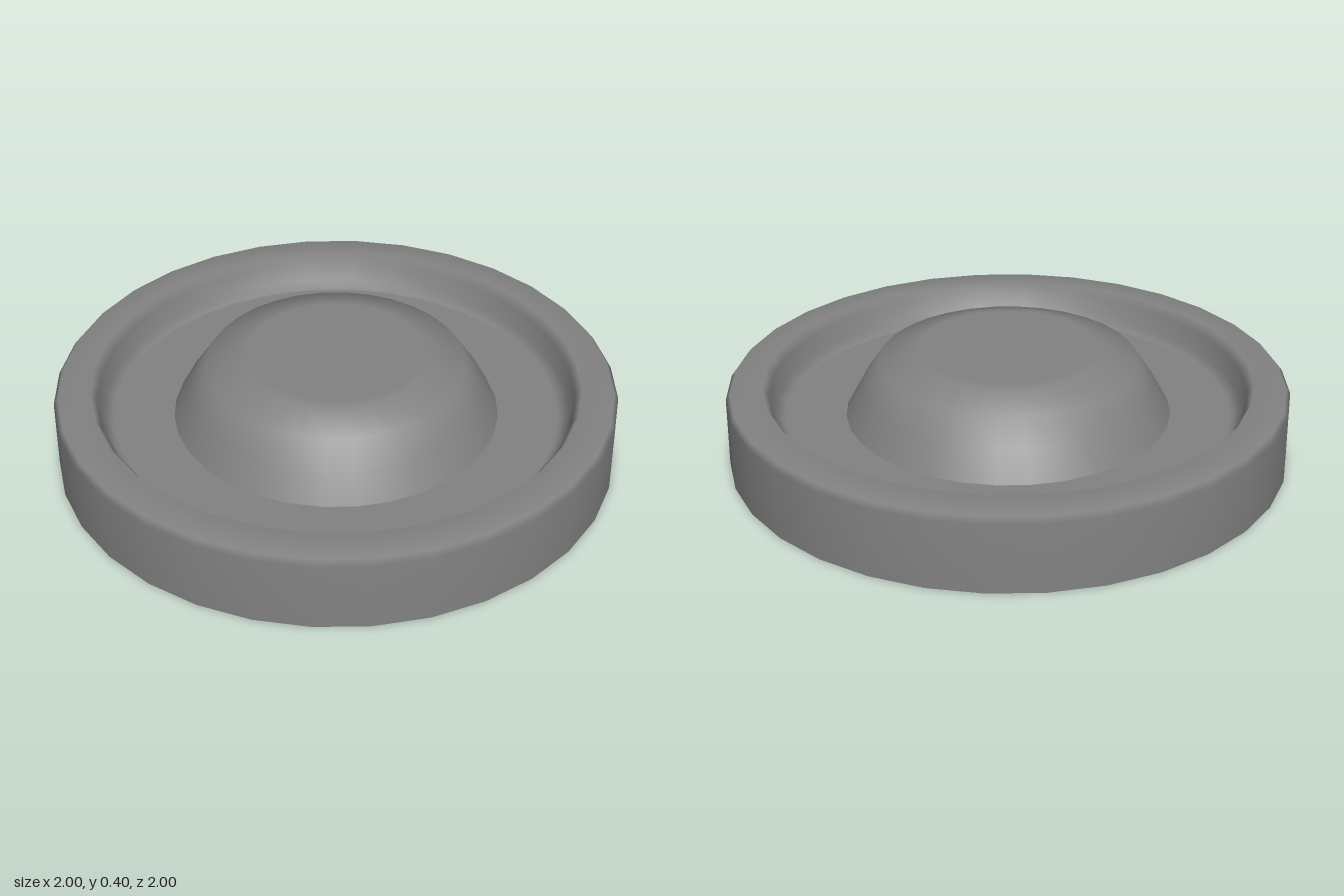
import * as THREE from 'three';

const SIDES = 32;

// Open surface turned around the y axis from [radius, height] points
function turned(name, profile) {
  const points = profile.map(([r, y]) => new THREE.Vector2(r, y));
  const material = new THREE.MeshStandardMaterial({ color: 0x828282, side: THREE.DoubleSide });
  const mesh = new THREE.Mesh(new THREE.LatheGeometry(points, SIDES), material);
  mesh.name = name;
  return mesh;
}

export function createModel() {
  const group = new THREE.Group();
  group.name = 'domedCap';

  // Outer wall, softened rim and recessed floor, open underneath
  group.add(turned('rimAndFloor', [
    [1, 0], [1, 0.25], [0.985, 0.27], [0.87, 0.282],
    [0.848, 0.25], [0.835, 0.18], [0.805, 0.158], [0.79, 0.158], [0.58, 0.158],
  ]));

  // Raised centre with a flat top
  group.add(turned('centreDome', [
    [0.58, 0.158], [0.525, 0.26], [0.46, 0.355], [0.34, 0.398], [0.31, 0.4], [0, 0.4],
  ]));

  return group;
}
